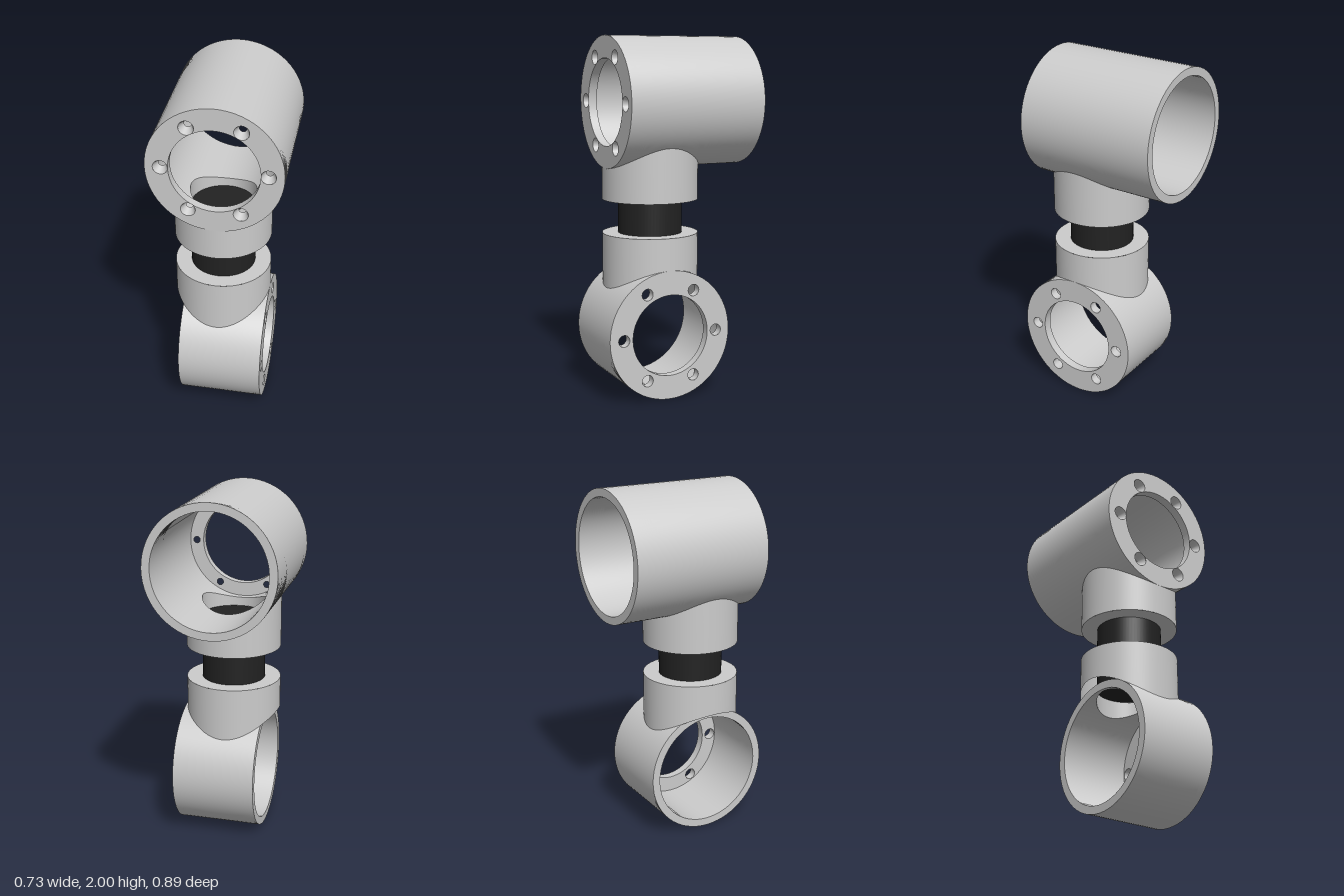
import * as THREE from 'three';
import { ParametricGeometry } from 'three/addons/geometries/ParametricGeometry.js';

const grey = new THREE.MeshStandardMaterial({ color: 0xcccccc, side: THREE.DoubleSide });
const black = new THREE.MeshStandardMaterial({ color: 0x222222, side: THREE.DoubleSide });

const R = 0.363;       // tube outer radius
const BORE = 0.318;    // tube inner radius
const NECK = 0.27;     // neck radius
const PIPE = 0.18;     // connecting pipe radius
const NECK_END = -0.543;
const FLANGE = 0.05;   // flange thickness
const PIPE_HALF = 0.27;

function add(group, name, geometry, material = grey) {
  const mesh = new THREE.Mesh(geometry, material);
  mesh.name = name;
  group.add(mesh);
  return mesh;
}

// Cylinder wall along z, pierced on its -y side by the pipe hole
function piercedWall(r, z0, z1, inward) {
  return new ParametricGeometry((u, v, target) => {
    const t = inward ? 1 - u : u;
    const side = Math.min(3, Math.floor(v * 4));
    const f = 2 * (v * 4 - side) - 1;
    const [sx, sz] = [[1, f], [-f, 1], [-1, -f], [f, -1]][side];
    const a = -Math.PI / 4 + 2 * Math.PI * v;
    const theta = THREE.MathUtils.lerp(Math.asin(PIPE * Math.cos(a) / r), Math.PI * sx, t);
    const z = THREE.MathUtils.lerp(PIPE * Math.sin(a), sz < 0 ? -sz * z0 : sz * z1, t);
    target.set(r * Math.sin(theta), -r * Math.cos(theta), z);
  }, 28, 256);
}

// Round plate with a central opening and six bolt holes
function plate(outer, opening, boltRadius) {
  const shape = new THREE.Shape().absarc(0, 0, outer, 0, Math.PI * 2);
  const hole = (x, y, r) => shape.holes.push(new THREE.Path().absarc(x, y, r, 0, Math.PI * 2, true));
  hole(0, 0, opening);
  for (let i = 0; i < 6; i++) {
    const a = i * Math.PI / 3;
    hole(0.28 * Math.cos(a), 0.28 * Math.sin(a), boltRadius);
  }
  return new THREE.ShapeGeometry(shape, 32);
}

// Tube along local z with a flange at +z and a neck pointing to -y
function createSocket(name, back, front, opening, boltFront, boltBack) {
  const g = new THREE.Group();
  g.name = name;
  const inner = front - FLANGE;

  add(g, 'tubeOuterWall', piercedWall(R, back, front, false));
  add(g, 'tubeInnerWall', piercedWall(BORE, back, inner, true));
  add(g, 'openRim', new THREE.RingGeometry(BORE, R, 64).rotateY(Math.PI).translate(0, 0, back));

  // Flange faces, opening and bolt holes
  add(g, 'flangeFront', plate(R, opening, boltFront).translate(0, 0, front));
  add(g, 'flangeBack', plate(BORE, opening, boltBack).rotateY(Math.PI).translate(0, 0, inner));
  const middle = front - FLANGE / 2;
  add(g, 'flangeOpening', new THREE.CylinderGeometry(opening, opening, FLANGE, 64, 1, true)
    .rotateX(Math.PI / 2).translate(0, 0, middle));
  for (let i = 0; i < 6; i++) {
    const a = i * Math.PI / 3;
    add(g, 'boltHole', new THREE.CylinderGeometry(boltFront, boltBack, FLANGE, 32, 1, true)
      .rotateX(Math.PI / 2).translate(0.28 * Math.cos(a), 0.28 * Math.sin(a), middle));
  }

  // Neck whose upper edge follows the tube surface
  const neck = new THREE.CylinderGeometry(NECK, NECK, 1, 96, 1, true);
  const p = neck.attributes.position;
  for (let i = 0; i < p.count; i++) {
    p.setY(i, p.getY(i) > 0 ? -Math.sqrt(R * R - p.getX(i) ** 2) : NECK_END);
  }
  add(g, 'neck', neck);
  add(g, 'neckEnd', new THREE.RingGeometry(PIPE, NECK, 64).rotateX(Math.PI / 2).translate(0, NECK_END, 0));

  // Side of the hole between the tube bore and the end of the pipe
  const pipeTop = PIPE_HALF - 0.638;
  add(g, 'pipeHole', new ParametricGeometry((u, v, target) => {
    const x = PIPE * Math.cos(2 * Math.PI * v);
    const y = THREE.MathUtils.lerp(-Math.sqrt(BORE * BORE - x * x), pipeTop, u);
    target.set(x, y, PIPE * Math.sin(2 * Math.PI * v));
  }, 1, 96));
  return g;
}

export function createModel() {
  const model = new THREE.Group();
  model.name = 'swivelTubeJoint';

  const upper = createSocket('upperSocket', -0.53, 0.27, 0.24, 0.04, 0.019);
  upper.position.set(0, 1.638, 0.085);

  // Lower socket: neck up, flange towards +x
  const lower = createSocket('lowerSocket', -0.2, 0.27, 0.228, 0.033, 0.033);
  lower.quaternion.setFromRotationMatrix(new THREE.Matrix4().makeBasis(
    new THREE.Vector3(0, 0, 1), new THREE.Vector3(0, -1, 0), new THREE.Vector3(1, 0, 0)));
  lower.position.set(0, 0.362, 0.085);

  model.add(upper, lower);
  add(model, 'connectingPipe', new THREE.CylinderGeometry(PIPE, PIPE, 2 * PIPE_HALF, 64), black)
    .position.set(0, 1, 0.085);
  return model;
}
